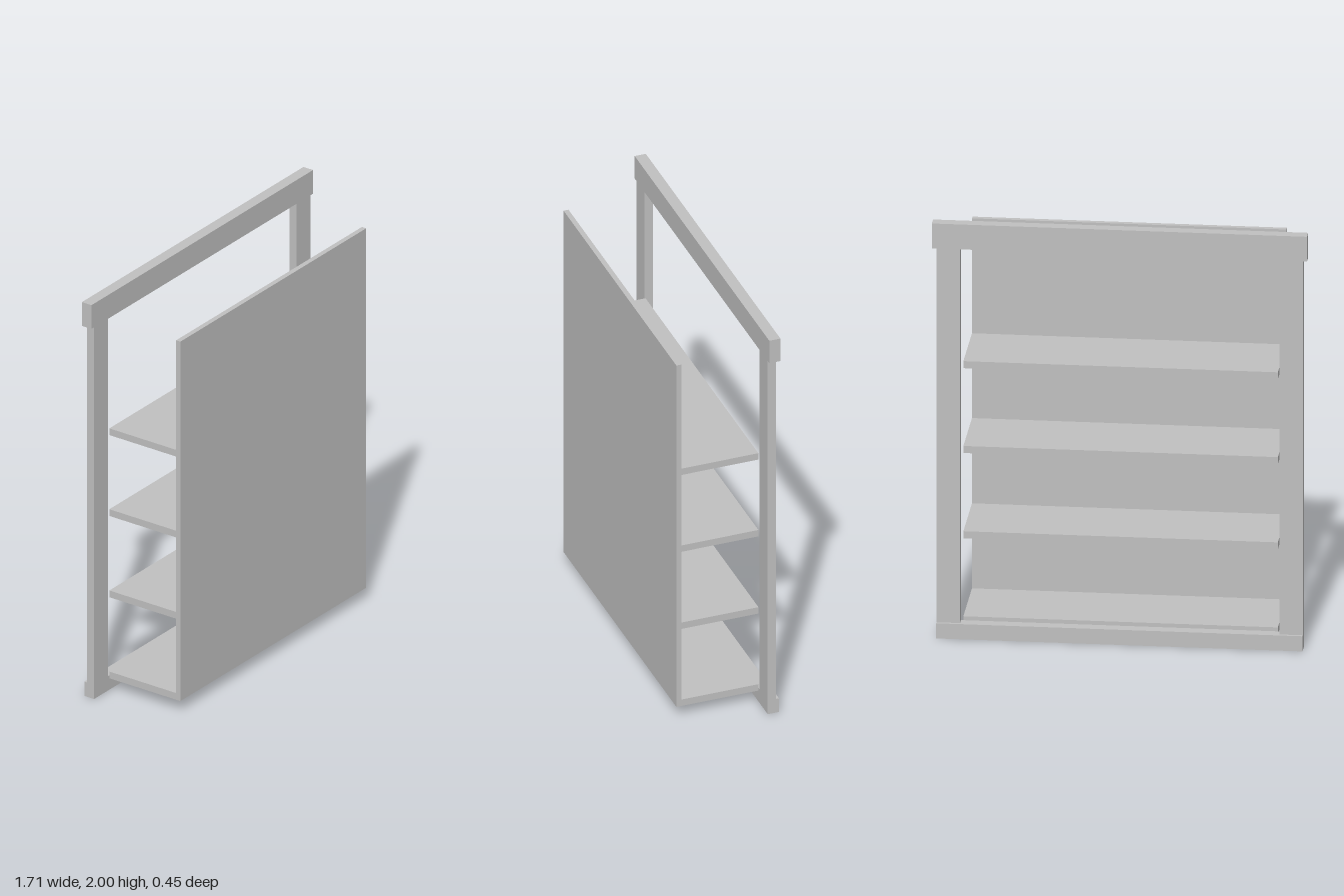
import * as THREE from 'three';

export function createModel() {
  const group = new THREE.Group();
  const grey = new THREE.MeshStandardMaterial({ color: 0xc0c0c0 });
  grey.name = 'plain grey';

  // Box given by its limits on each axis
  const board = (name, [x0, x1], [y0, y1], [z0, z1]) => {
    const mesh = new THREE.Mesh(new THREE.BoxGeometry(x1 - x0, y1 - y0, z1 - z0), grey);
    mesh.position.set((x0 + x1) / 2, (y0 + y1) / 2, (z0 + z1) / 2);
    mesh.name = name;
    group.add(mesh);
  };

  // Large flat panel
  board('panel', [-0.717, 0.717], [0.058, 1.876], [0.202, 0.226]);

  // Shelves between the panel and the face frame
  [0.058, 0.468, 0.879, 1.288].forEach((y, i) =>
    board(`shelf${i + 1}`, [-0.717, 0.717], [y, y + 0.034], [-0.172, 0.202]));

  // Face frame: two stiles, a bottom rail and a wider header
  board('rightStile', [-0.835, -0.728], [0.073, 1.88], [-0.212, -0.172]);
  board('leftStile', [0.728, 0.835], [0.073, 1.88], [-0.212, -0.172]);
  board('bottomRail', [-0.835, 0.835], [0, 0.073], [-0.226, -0.172]);
  board('header', [-0.855, 0.855], [1.88, 2], [-0.226, -0.172]);

  return group;
}
